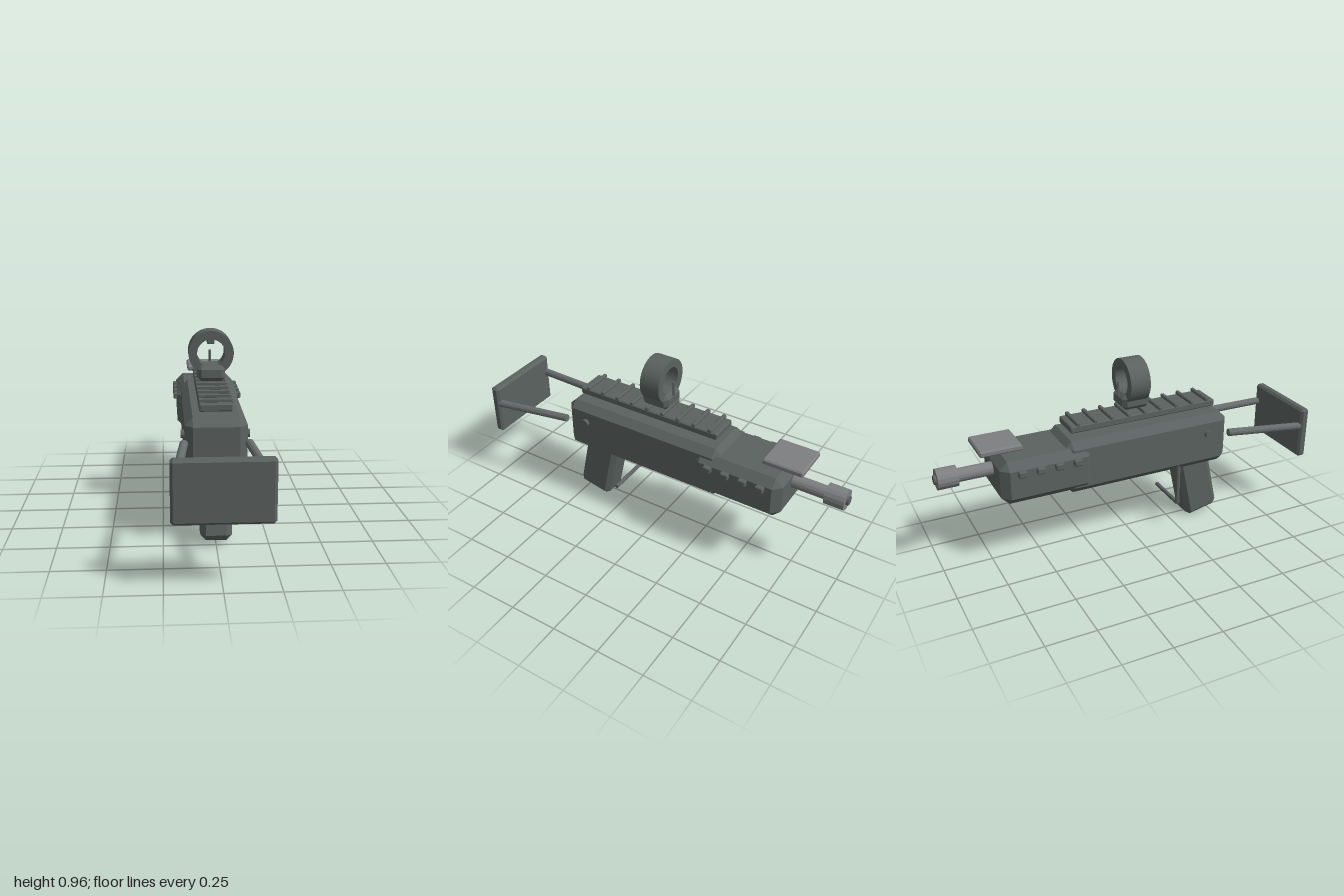
import * as THREE from 'three';
import { ConvexGeometry } from 'three/addons/geometries/ConvexGeometry.js';

const material = (name, color) => Object.assign(new THREE.MeshStandardMaterial({ color }), { name });

export function createModel() {
  const model = new THREE.Group();
  model.name = 'toyBlaster';
  const body = material('greenGrey', 0x5b6260);
  const metal = material('lightGrey', 0x7d7f81);
  const rodGrey = material('midGrey', 0x686c6c);

  const add = (name, geometry, mat, x = 0, y = 0, z = 0) => {
    const mesh = new THREE.Mesh(geometry, mat);
    mesh.name = name;
    mesh.position.set(x, y, z);
    model.add(mesh);
    return mesh;
  };

  // Box with flat chamfers of size b on every edge
  const chamferBox = (w, h, d, b) => {
    const points = [];
    for (const sx of [-1, 1]) for (const sy of [-1, 1]) for (const sz of [-1, 1]) {
      for (let axis = 0; axis < 3; axis++) {
        const inset = [b, b, b];
        inset[axis] = 0;
        points.push(new THREE.Vector3(
          sx * (w / 2 - inset[0]), sy * (h / 2 - inset[1]), sz * (d / 2 - inset[2])));
      }
    }
    return new ConvexGeometry(points);
  };

  // Faceted cylinder between two points
  const rod = (name, from, to, radius, mat, sides = 12) => {
    const a = new THREE.Vector3(...from), b = new THREE.Vector3(...to);
    const dir = b.clone().sub(a);
    const geometry = new THREE.CylinderGeometry(radius, radius, dir.length(), sides).toNonIndexed();
    geometry.computeVertexNormals();
    const mid = a.add(b).multiplyScalar(0.5);
    const mesh = add(name, geometry, mat, mid.x, mid.y, mid.z);
    mesh.quaternion.setFromUnitVectors(new THREE.Vector3(0, 1, 0), dir.normalize());
    return mesh;
  };

  // Main body and fore-end
  add('receiver', chamferBox(0.29, 0.28, 0.91, 0.037), body, 0, 0.495, 0.075);
  add('handguard', chamferBox(0.33, 0.225, 0.475, 0.04), body, 0, 0.493, -0.478);
  add('underKnob', chamferBox(0.11, 0.06, 0.14, 0.02), body, 0, 0.39, -0.53);

  // Side details
  for (const side of [-1, 1]) {
    const label = side > 0 ? 'left' : 'right';
    [-0.335, -0.43, -0.525, -0.617].forEach((z) =>
      add(label + 'Vent', chamferBox(0.04, 0.033, 0.043, 0.005), body, side * 0.166, 0.55, z));
    rod(label + 'Pin', [side * 0.13, 0.537, 0.408], [side * 0.162, 0.537, 0.408], 0.021, body);
    rod(label + 'StockRod', [side * 0.15, 0.523, 0.53], [side * 0.198, 0.495, 0.96], 0.02, rodGrey);
  }

  // Shoulder plate
  add('stockPlate', chamferBox(0.436, 0.28, 0.05, 0.012), body, 0, 0.455, 0.975);

  // Barrel and muzzle
  rod('barrel', [0, 0.525, -0.69], [0, 0.525, -0.9], 0.034, metal, 16);
  rod('muzzle', [0, 0.525, -0.888], [0, 0.525, -0.988], 0.052, metal, 16);
  rod('bore', [0, 0.525, -0.97], [0, 0.525, -1.0], 0.023, body, 16);

  // Top plate over the fore-end
  add('topPlate', chamferBox(0.2, 0.031, 0.21, 0.007), metal, 0, 0.652, -0.69);

  // Ridged rail
  add('rail', chamferBox(0.154, 0.036, 0.81, 0.005), body, 0, 0.676, 0.074);
  for (let i = 0; i < 9; i++) {
    add('railRidge', chamferBox(0.16, 0.02, 0.02, 0.004), body, 0, 0.701, 0.433 - i * 0.0903);
  }

  // Ring sight
  add('sightBase', chamferBox(0.14, 0.08, 0.15, 0.02), body, 0, 0.758, 0.032);
  const ring = new THREE.Shape();
  ring.absarc(0, 0, 0.113, 0, Math.PI * 2);
  const opening = new THREE.Path();
  opening.absarc(0, 0, 0.07, 0, Math.PI * 2, true);
  ring.holes.push(opening);
  add('sightRing', new THREE.ExtrudeGeometry(ring, { depth: 0.107, bevelEnabled: false, curveSegments: 24 }),
    body, 0, 0.857, -0.022);
  add('sightBlock', chamferBox(0.037, 0.035, 0.05, 0.004), body, 0, 0.917, 0.03);
  rod('sightPost', [0, 0.77, -0.04], [0, 0.855, -0.04], 0.006, body, 8);

  // Raked grip
  add('grip', chamferBox(0.148, 0.42, 0.192, 0.025), body, 0, 0.234, 0.4).rotation.x = -0.21;

  // Trigger bars
  rod('triggerUpright', [-0.118, 0.148, 0.252], [-0.118, 0.38, 0.252], 0.012, body, 8);
  rod('triggerCrossbar', [-0.118, 0.15, 0.252], [0.115, 0.15, 0.252], 0.011, body, 8);

  return model;
}
